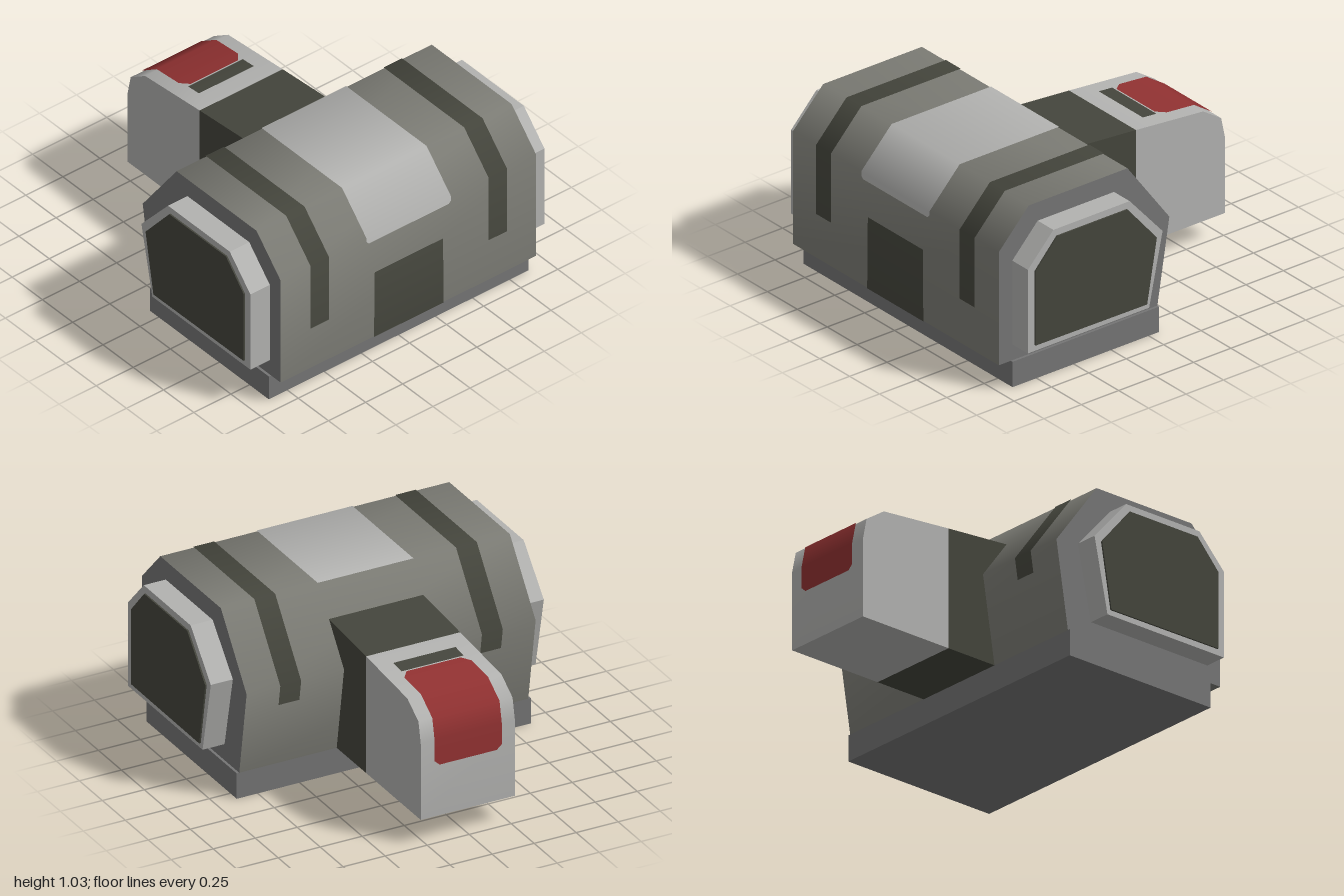
import * as THREE from 'three';
import { toCreasedNormals } from 'three/addons/utils/BufferGeometryUtils.js';

const material = (name, color) => {
  const m = new THREE.MeshStandardMaterial({ color });
  m.name = name;
  return m;
};

// Side profiles as [z, y], running from the front over the top to the back
const BODY = [[0.99, 0.15], [0.99, 0.82], [0.79, 1.03], [0.13, 1.03], [-0.15, 0.65], [-0.07, 0.15]];
const POD = [[0.9, 0.245], [0.9, 0.74], [0.73, 0.92], [0.22, 0.92], [0, 0.67], [0.09, 0.245]];
const WINDOW = [[0.855, 0.28], [0.855, 0.72], [0.71, 0.88], [0.24, 0.88], [0.045, 0.65], [0.11, 0.275]];
const NECK = [[0.02, 0.15], [0.02, 0.873], [-0.39, 0.84], [-0.39, 0.15]];
const TAIL_TOP = [[-0.39, 0.84], [-0.84, 0.8], [-0.96, 0.72], [-0.985, 0.6], [-0.985, 0.15]];
const TAIL = [[-0.39, 0.15], ...TAIL_TOP];

// Extrudes a profile along x between x0 and x1, smoothing edges under the crease angle
function slab(profile, x0, x1, crease = 0.1) {
  const shape = new THREE.Shape(profile.map(([z, y]) => new THREE.Vector2(z, y)));
  const geo = new THREE.ExtrudeGeometry(shape, { depth: x1 - x0, bevelEnabled: false });
  geo.translate(0, 0, -x1).rotateY(-Math.PI / 2);
  return toCreasedNormals(geo, crease);
}

// Normal of a profile segment, and the averaged normal at a corner
function segmentNormal(path, i) {
  const [a, b] = [path[i], path[i + 1]];
  return new THREE.Vector2(b[1] - a[1], a[0] - b[0]).normalize();
}
function cornerNormal(path, i) {
  const n = new THREE.Vector2();
  if (i > 0) n.add(segmentNormal(path, i - 1));
  if (i < path.length - 1) n.add(segmentNormal(path, i));
  return n.normalize();
}

// Painted plate wrapped over a profile; stops are [position along profile, half width]
function wrap(path, stops, centre = 0, lift = 0.005) {
  const rows = [];
  stops.forEach(([t, w], k) => {
    rows.push([t, w]);
    const next = stops[k + 1];
    if (!next) return;
    for (let i = Math.floor(t) + 1; i < next[0]; i++) {
      rows.push([i, THREE.MathUtils.lerp(w, next[1], (i - t) / (next[0] - t))]);
    }
  });
  const position = [], normal = [], index = [];
  rows.forEach(([t, w], r) => {
    const i = Math.min(Math.floor(t), path.length - 2);
    const f = t - i;
    const n = cornerNormal(path, i).lerp(cornerNormal(path, i + 1), f).normalize();
    const z = THREE.MathUtils.lerp(path[i][0], path[i + 1][0], f) + n.x * lift;
    const y = THREE.MathUtils.lerp(path[i][1], path[i + 1][1], f) + n.y * lift;
    for (const s of [-1, 1]) {
      position.push(centre + s * w, y, z);
      normal.push(0, n.y, n.x);
    }
    if (r > 0) {
      const a = 2 * r - 2;
      index.push(a, a + 1, a + 3, a, a + 3, a + 2);
    }
  });
  const geo = new THREE.BufferGeometry();
  geo.setAttribute('position', new THREE.Float32BufferAttribute(position, 3));
  geo.setAttribute('normal', new THREE.Float32BufferAttribute(normal, 3));
  geo.setIndex(index);
  return geo;
}

export function createModel() {
  const group = new THREE.Group();
  const hull = material('warm grey', 0x7b7b74);
  const metal = material('neutral grey', 0x757575);
  const pale = material('pale grey', 0xb2b2b0);
  const dark = material('dark olive', 0x44453c);
  const red = material('dark red', 0x903131);
  const add = (name, geo, mat) => {
    const mesh = new THREE.Mesh(geo, mat);
    mesh.name = name;
    group.add(mesh);
  };

  // Main body with grey end caps, standing on a base block
  add('body', slab(BODY, -0.86, 0.86, 1), [metal, hull]);
  const base = new THREE.BoxGeometry(1.75, 0.15, 0.98);
  base.translate(0, 0.075, 0.42);
  add('base', base, metal);

  // Painted panels on the body
  add('topPanel', wrap(BODY, [[0.94, 0.27], [0.965, 0.285], [3, 0.285]]), pale);
  add('frontPanel', wrap(BODY, [[0, 0.235], [0.63, 0.23]]), dark);

  // Stripe, side pod and dark window on each side
  for (const [side, name] of [[1, 'left'], [-1, 'right']]) {
    const span = (a, b) => (side > 0 ? [a, b] : [-b, -a]);
    add(name + 'Stripe', wrap(BODY, [[0.39, 0.062], [4.24, 0.062]], side * 0.6), dark);
    add(name + 'Pod', slab(POD, ...span(0.85, 0.991)), pale);
    add(name + 'Window', slab(WINDOW, ...span(0.991, 1)), dark);
  }

  // Rear arm: dark neck, pale end, slot and red wrap-over panel
  add('neck', slab(NECK, -0.28, 0.28), dark);
  add('tail', slab(TAIL, -0.28, 0.28, 1), pale);
  add('tailSlot', wrap(TAIL_TOP, [[0.27, 0.185], [0.47, 0.185]]), dark);
  add('tailPanel', wrap(TAIL_TOP, [[0.49, 0.16], [0.6, 0.2], [3.27, 0.2], [3.33, 0.17]]), red);

  return group;
}
